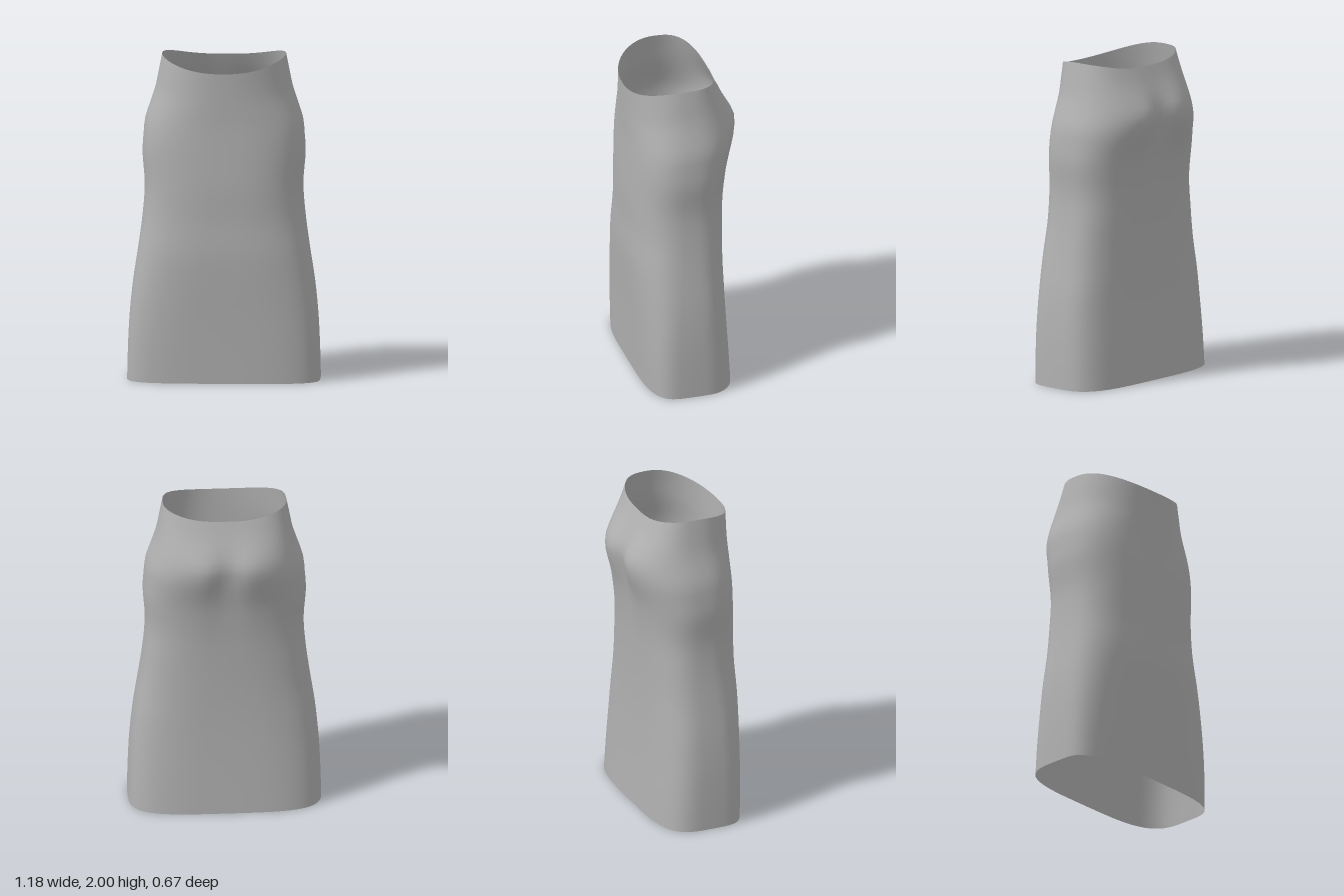
import * as THREE from 'three';

// Cross-sections: height, half width, side z, front z, back z, front squareness, back squareness, cleft depth
const SECTIONS = [
  [0.0, 0.590, 0.05, 0.297, -0.262, 4.0, 3.7, 0],
  [0.2, 0.585, 0.05, 0.305, -0.252, 3.9, 3.6, 0],
  [0.4, 0.575, 0.05, 0.314, -0.243, 3.6, 3.4, 0],
  [0.6, 0.555, 0.04, 0.325, -0.237, 3.3, 3.2, 0],
  [0.8, 0.525, 0.04, 0.334, -0.236, 3.0, 3.0, 0],
  [1.0, 0.498, 0.03, 0.330, -0.240, 2.8, 2.9, 0],
  [1.2, 0.484, 0.03, 0.333, -0.252, 2.7, 2.7, 0.004],
  [1.4, 0.498, 0.02, 0.328, -0.280, 2.7, 2.5, 0.014],
  [1.5, 0.492, 0.02, 0.325, -0.310, 2.7, 2.4, 0.028],
  [1.6, 0.482, 0.01, 0.323, -0.343, 2.6, 2.25, 0.045],
  [1.7, 0.450, 0.01, 0.324, -0.353, 2.5, 2.2, 0.045],
  [1.8, 0.418, 0.01, 0.325, -0.305, 2.4, 2.4, 0.022],
  [1.9, 0.398, 0.02, 0.327, -0.250, 2.3, 2.6, 0.006],
  [2.0, 0.378, 0.02, 0.330, -0.206, 2.25, 2.75, 0],
];

// Smooth blend of the sections at height y
function sectionAt(y) {
  let i = 0;
  while (i < SECTIONS.length - 2 && y > SECTIONS[i + 1][0]) i++;
  const p = SECTIONS[Math.max(i - 1, 0)], a = SECTIONS[i];
  const b = SECTIONS[i + 1], q = SECTIONS[Math.min(i + 2, SECTIONS.length - 1)];
  const h = b[0] - a[0], t = (y - a[0]) / h;
  return a.map((v, k) => {
    const m0 = (b[k] - p[k]) / (b[0] - p[0]) * h;
    const m1 = (q[k] - v) / (q[0] - a[0]) * h;
    return (2 * t ** 3 - 3 * t ** 2 + 1) * v + (t ** 3 - 2 * t ** 2 + t) * m0
      + (3 * t ** 2 - 2 * t ** 3) * b[k] + (t ** 3 - t ** 2) * m1;
  });
}

function skirtGeometry(rows = 40, cols = 72) {
  const positions = [], index = [];
  for (let r = 0; r <= rows; r++) {
    const y = 2 * r / rows;
    const [, halfWidth, sideZ, frontZ, backZ, nFront, nBack, cleft] = sectionAt(y);
    const dip = THREE.MathUtils.smoothstep(y, 1.5, 2);
    for (let c = 0; c < cols; c++) {
      const angle = c / cols * Math.PI * 2;
      const cos = Math.cos(angle), sin = Math.sin(angle), front = sin >= 0;
      const power = 2 / (front ? nFront : nBack);
      const x = halfWidth * Math.sign(cos) * Math.abs(cos) ** power;
      const depth = Math.abs(sin) ** power;
      let z = sideZ + depth * ((front ? frontZ : backZ) - sideZ);
      if (!front) z += cleft * Math.exp(-((x / 0.09) ** 2));
      // The waist rim sinks at the front and a little at the back
      const drop = front ? 0.08 * depth ** 2 : 0.042 * depth ** 4;
      positions.push(x, y - drop * dip, z);
      if (r < rows) {
        const here = r * cols + c, next = r * cols + (c + 1) % cols;
        index.push(here, here + cols, next, next, here + cols, next + cols);
      }
    }
  }
  const geometry = new THREE.BufferGeometry();
  geometry.setAttribute('position', new THREE.Float32BufferAttribute(positions, 3));
  geometry.setIndex(index);
  geometry.computeVertexNormals();
  return geometry;
}

export function createModel() {
  const group = new THREE.Group();
  group.name = 'skirt';
  const cloth = new THREE.MeshStandardMaterial({ color: 0xb0b0b0, side: THREE.DoubleSide });
  cloth.name = 'grey cloth';
  // Open tube of cloth
  const skirt = new THREE.Mesh(skirtGeometry(), cloth);
  skirt.name = 'skirtCloth';
  group.add(skirt);
  return group;
}
